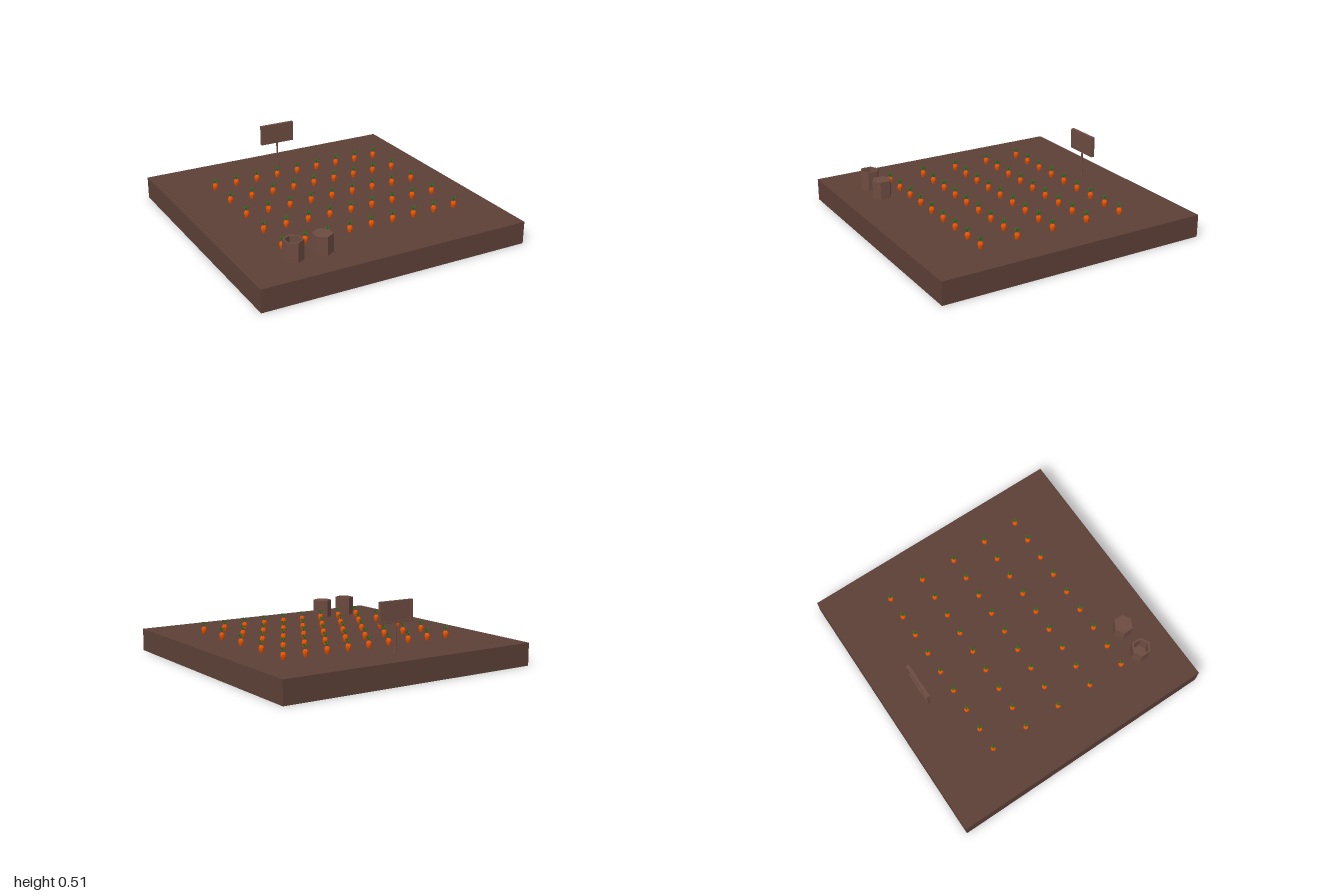
import * as THREE from 'three';
import { mergeGeometries } from 'three/addons/utils/BufferGeometryUtils.js';

const SOIL_TOP = 0.163;
const paint = (color, extra = {}) => new THREE.MeshStandardMaterial({ color, flatShading: true, ...extra });

export function createModel() {
  const model = new THREE.Group();
  const soilMat = paint(0x5d4037);
  const woodMat = paint(0x6d4c41, { side: THREE.DoubleSide });
  const rootMat = paint(0xe65100);
  const leafMat = paint(0x33691e, { side: THREE.DoubleSide });

  const add = (parent, name, geometry, material, x = 0, y = 0, z = 0) => {
    const mesh = new THREE.Mesh(geometry, material);
    mesh.name = name;
    mesh.position.set(x, y, z);
    parent.add(mesh);
    return mesh;
  };
  const group = (name, x, y, z) => {
    const g = new THREE.Group();
    g.name = name;
    g.position.set(x, y, z);
    model.add(g);
    return g;
  };
  const profile = (pairs) => pairs.map(([r, y]) => new THREE.Vector2(r, y));

  // Soil slab
  add(model, 'soil', new THREE.BoxGeometry(2, SOIL_TOP, 2), soilMat, 0, SOIL_TOP / 2, 0);

  // Carrot root, half sunk in the soil
  const rootGeo = new THREE.LatheGeometry(profile([
    [0, -0.012], [0.009, -0.004], [0.014, 0.006], [0.019, 0.022],
    [0.020, 0.034], [0.016, 0.045], [0.007, 0.052], [0, 0.052],
  ]), 8);

  // Foliage: tapered stalks that rise and arch outward
  const stalk = (angle, reach, height) => {
    const c = Math.cos(angle), s = Math.sin(angle);
    const curve = new THREE.CatmullRomCurve3([
      [0, 0.048], [0.15, height * 0.75], [0.55, height], [1, height - 0.009],
    ].map(([r, y]) => new THREE.Vector3(c * r * reach, y, s * r * reach)));
    const geo = new THREE.TubeGeometry(curve, 6, 0.0045, 4);
    // Slim stem, broad middle, pointed tip
    const widths = [0.7, 0.6, 0.7, 1, 1.1, 0.75, 0.1];
    const p = geo.attributes.position, v = new THREE.Vector3();
    for (let i = 0; i < p.count; i++) {
      const ring = Math.floor(i / 5);
      const centre = curve.getPointAt(ring / 6);
      v.fromBufferAttribute(p, i).sub(centre).multiplyScalar(widths[ring]).add(centre);
      p.setXYZ(i, v.x, v.y, v.z);
    }
    return geo;
  };
  const leafGeo = mergeGeometries([
    stalk(0.1, 0.022, 0.086), stalk(1.4, 0.02, 0.076), stalk(2.6, 0.021, 0.08),
    stalk(3.9, 0.019, 0.084), stalk(5.1, 0.02, 0.074),
  ]);

  // Five rows of nine carrots
  for (let row = 0; row < 5; row++) {
    for (let col = 0; col < 9; col++) {
      const carrot = group('carrot', -0.64 + col * 0.169, SOIL_TOP, -0.535 + row * 0.2755);
      add(carrot, 'carrotRoot', rootGeo, rootMat);
      add(carrot, 'carrotLeaves', leafGeo, leafMat);
    }
  }

  // Sign: post, foot, panel and a raised frame on the back
  const sign = group('sign', -0.03, 0, -0.742);
  add(sign, 'signPost', new THREE.CylinderGeometry(0.007, 0.007, 0.2, 8), woodMat, 0, 0.263, 0);
  add(sign, 'signFoot', new THREE.CylinderGeometry(0.008, 0.011, 0.034, 8), woodMat, 0, 0.18, 0);
  add(sign, 'signPanel', new THREE.BoxGeometry(0.268, 0.15, 0.016), woodMat, 0, 0.435, 0.004);
  for (const side of [-1, 1]) {
    add(sign, 'signFrameRail', new THREE.BoxGeometry(0.268, 0.014, 0.008), woodMat, 0, 0.435 + side * 0.068, -0.008);
    add(sign, 'signFrameStile', new THREE.BoxGeometry(0.014, 0.122, 0.008), woodMat, side * 0.127, 0.435, -0.008);
  }

  // Open hexagonal tub: outer wall, rim, inner wall and floor
  const tub = group('openTub', -0.64, SOIL_TOP, 0.73);
  add(tub, 'tubShell', new THREE.LatheGeometry(profile([
    [0, 0], [0.071, 0], [0.071, 0.138], [0.057, 0.138], [0.057, 0.015], [0, 0.015],
  ]), 6), woodMat);

  // Closed hexagonal tub
  const closed = group('closedTub', -0.428, SOIL_TOP, 0.73);
  add(closed, 'tubBody', new THREE.CylinderGeometry(0.071, 0.071, 0.132, 6), woodMat, 0, 0.066, 0);

  return model;
}
